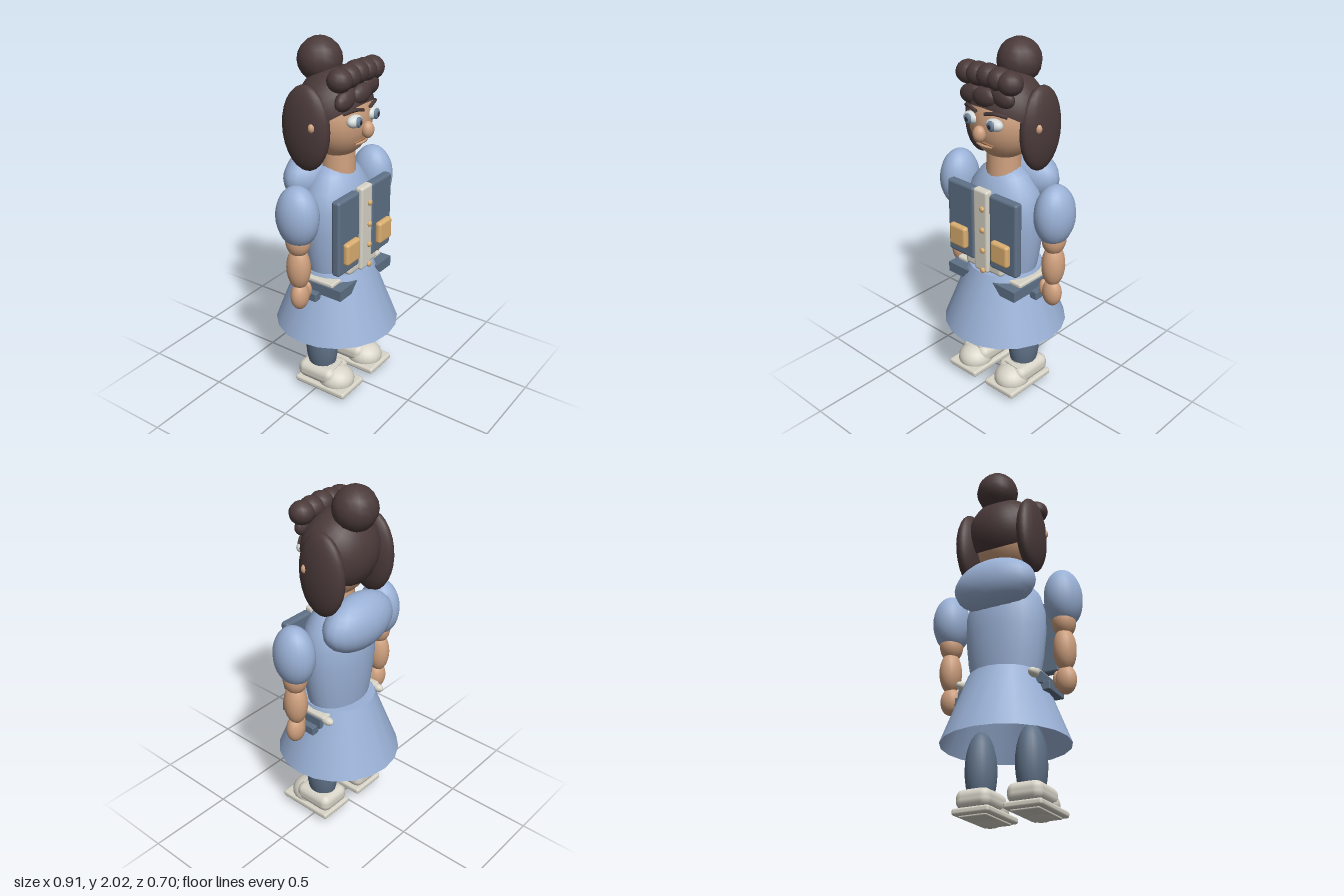
import * as THREE from 'three';
import { RoundedBoxGeometry } from 'three/addons/geometries/RoundedBoxGeometry.js';

function paint(name, color, side = THREE.FrontSide) {
  const m = new THREE.MeshStandardMaterial({ color, side });
  m.name = name;
  return m;
}

export function createModel() {
  const model = new THREE.Group();
  model.name = 'figure';
  const blue = paint('light blue cloth', 0x9ab1d6, THREE.DoubleSide);
  const slate = paint('slate cloth', 0x5f7187);
  const skin = paint('skin', 0xcfa07e);
  const hair = paint('dark brown hair', 0x4b3a3a, THREE.DoubleSide);
  const cream = paint('cream', 0xd8d4c8);
  const tan = paint('tan', 0xdbaf70);
  const white = paint('eye white', 0xd6dcdc);
  const iris = paint('iris', 0x6c8199);
  const dark = paint('pupil', 0x2b2c33);
  const lip = paint('lip', 0xa9754f);

  function add(name, geometry, material, x, y, z, parent = model) {
    const mesh = new THREE.Mesh(geometry, material);
    mesh.name = name;
    mesh.position.set(x, y, z);
    parent.add(mesh);
    return mesh;
  }
  function ball(name, material, pos, radii, parent = model, seg = 20) {
    const mesh = add(name, new THREE.SphereGeometry(1, seg, Math.round(seg * 0.7)), material, ...pos, parent);
    mesh.scale.set(...radii);
    return mesh;
  }
  // Rounded box given by its minimum and maximum corners
  function block(name, material, a, b, r, parent = model) {
    const size = a.map((v, i) => b[i] - v);
    return add(name, new RoundedBoxGeometry(...size, 2, r), material,
      ...a.map((v, i) => (v + b[i]) / 2), parent);
  }
  function tube(name, material, pts, r, parent = model) {
    const curve = new THREE.CatmullRomCurve3(pts.map(p => new THREE.Vector3(...p)));
    return add(name, new THREE.TubeGeometry(curve, 12, r, 6), material, 0, 0, 0, parent);
  }
  const lathe = pts => new THREE.LatheGeometry(pts.map(p => new THREE.Vector2(...p)), 24);

  // Dress: open skirt, oval bodice and the folded hood behind the neck
  add('skirt', new THREE.CylinderGeometry(0.205, 0.35, 0.377, 20, 1, true), blue, 0, 0.5625, 0);
  const waist = add('skirtTop', new THREE.CircleGeometry(0.205, 20), blue, 0, 0.75, 0);
  waist.rotation.x = -Math.PI / 2;
  const bodice = add('bodice', lathe([[0.145, 0.74], [0.16, 0.85], [0.172, 1.0], [0.17, 1.12],
    [0.15, 1.22], [0.105, 1.3], [0.065, 1.34], [0, 1.35]]), blue, 0, 0, 0);
  bodice.scale.x = 1.36;
  ball('hood', blue, [0, 1.255, -0.135], [0.245, 0.155, 0.13]);

  // Neck and head
  add('neck', new THREE.CylinderGeometry(0.09, 0.097, 0.14, 16), skin, 0, 1.36, 0.01);
  ball('head', skin, [0, 1.6, 0.01], [0.19, 0.218, 0.175], model, 24);
  ball('nose', skin, [0, 1.56, 0.193], [0.036, 0.045, 0.033]);
  tube('mouth', lip, [[-0.065, 1.495, 0.155], [0, 1.507, 0.17], [0.065, 1.495, 0.155]], 0.006);
  tube('lowerLip', skin, [[-0.055, 1.485, 0.152], [0, 1.487, 0.166], [0.055, 1.485, 0.152]], 0.008);

  // Hair: tilted cap, bun, rolled fringe and swept bangs
  const capGeometry = new THREE.SphereGeometry(1, 20, 12, 0, Math.PI * 2, 0, Math.PI * 0.58);
  capGeometry.rotateX(-0.52);
  add('hairCap', capGeometry, hair, 0, 1.64, -0.01).scale.set(0.222, 0.222, 0.196);
  ball('bun', hair, [0, 1.88, -0.107], [0.12, 0.12, 0.12], model, 14);
  for (let i = -2; i <= 2; i++) {
    ball('fringeCurl', hair, [i * 0.072, 1.85 - Math.abs(i) * 0.005, 0.118], [0.068, 0.062, 0.066], model, 14);
  }
  [[-0.11, 1.735, 0.13, 0.25], [0, 1.745, 0.15, 0.12], [0.1, 1.765, 0.13, -0.2]].forEach(([x, y, z, tilt]) => {
    ball('bang', hair, [x, y, z], [0.08, 0.055, 0.04], model, 14).rotation.z = tilt;
  });

  for (const s of [-1, 1]) {
    const side = s > 0 ? 'left' : 'right';
    const face = new THREE.Group();
    face.name = side + 'FaceSide';
    model.add(face);

    // Side lock, ear, eye and brow
    ball('sideLock', hair, [s * 0.193, 1.57, -0.057], [0.066, 0.23, 0.146], face);
    ball('ear', skin, [s * 0.235, 1.6, 0.015], [0.027, 0.028, 0.02], face, 12);
    ball('eye', white, [s * 0.08, 1.622, 0.165], [0.052, 0.034, 0.034], face);
    ball('iris', iris, [s * 0.08, 1.622, 0.192], [0.026, 0.028, 0.014], face, 14);
    ball('pupil', dark, [s * 0.08, 1.622, 0.202], [0.012, 0.013, 0.007], face, 12);
    tube('brow', hair, [[s * 0.03, 1.672, 0.185], [s * 0.085, 1.684, 0.175], [s * 0.145, 1.67, 0.14]], 0.01, face);

    // Arm: puffed sleeve, bare arm and hand
    const arm = new THREE.Group();
    arm.name = side + 'Arm';
    arm.position.x = s * 0.35;
    model.add(arm);
    add('sleeve', new THREE.SphereGeometry(1, 20, 14, 0, Math.PI * 2, 0, 2.48), blue, 0, 1.15, 0, arm)
      .scale.set(0.103, 0.17, 0.122);
    ball('upperArm', skin, [0, 1.01, 0], [0.064, 0.09, 0.07], arm);
    ball('forearm', skin, [0, 0.85, 0], [0.062, 0.125, 0.068], arm);
    ball('hand', skin, [0, 0.68, 0.005], [0.058, 0.08, 0.048], arm);
    ball('thumb', skin, [-s * 0.055, 0.695, 0.015], [0.022, 0.048, 0.025], arm, 12);

    // Vest panel and pocket
    const mid = s * 0.155;
    block('vestPanel', slate, [mid - 0.097, 0.8, 0.14], [mid + 0.097, 1.235, 0.192], 0.016);
    block('pocket', tan, [mid - 0.062, 0.86, 0.185], [mid + 0.062, 0.99, 0.226], 0.018);

    // Hip bar with a slanted inner end, cream strap and grip
    const barShape = new THREE.Shape([[0.09, 0.717], [0.145, 0.657], [0.25, 0.657], [0.25, 0.717]]
      .map(([x, y]) => new THREE.Vector2(s * x, y)));
    add('hipBar', new THREE.ExtrudeGeometry(barShape, { depth: 0.28, bevelEnabled: false }), slate, 0, 0, -0.08);
    const strapX = s * 0.19;
    block('hipStrap', cream, [strapX - 0.05, 0.705, -0.1], [strapX + 0.05, 0.735, 0.14], 0.01);
    ball('hipGrip', cream, [s * 0.215, 0.708, -0.105], [0.025, 0.025, 0.042], model, 14);
    const holdX = s * 0.255;
    block('hipHolder', slate, [holdX - 0.03, 0.62, -0.06], [holdX + 0.03, 0.67, 0.06], 0.006);

    // Leg and shoe
    const leg = new THREE.Group();
    leg.name = side + 'Leg';
    leg.position.x = s * 0.147;
    model.add(leg);
    ball('leg', slate, [0, 0.255, 0], [0.083, 0.215, 0.096], leg);
    block('tread', cream, [-0.08, 0, -0.09], [0.08, 0.02, 0.19], 0.006, leg);
    block('sole', cream, [-0.108, 0.01, -0.118], [0.108, 0.047, 0.222], 0.014, leg);
    block('shoeUpper', cream, [-0.1, 0.04, -0.115], [0.1, 0.147, 0.13], 0.045, leg);
    ball('shoeToe', cream, [0, 0.06, 0.1], [0.1, 0.082, 0.108], leg);
    for (const z of [0.07, 0.105]) {
      tube('lace', cream, [[-0.05, 0.14, z], [0, 0.15, z + 0.008], [0.05, 0.14, z]], 0.007, leg);
    }
  }

  // Front placket, hem band and buttons
  block('placket', cream, [-0.052, 0.755, 0.15], [0.052, 1.247, 0.2], 0.016);
  block('hemBand', cream, [-0.135, 0.752, 0.125], [0.135, 0.84, 0.182], 0.022);
  for (const y of [0.77, 0.893, 1.017, 1.143]) {
    ball('button', tan, [0.02, y, 0.203], [0.017, 0.017, 0.012], model, 12);
  }
  return model;
}
